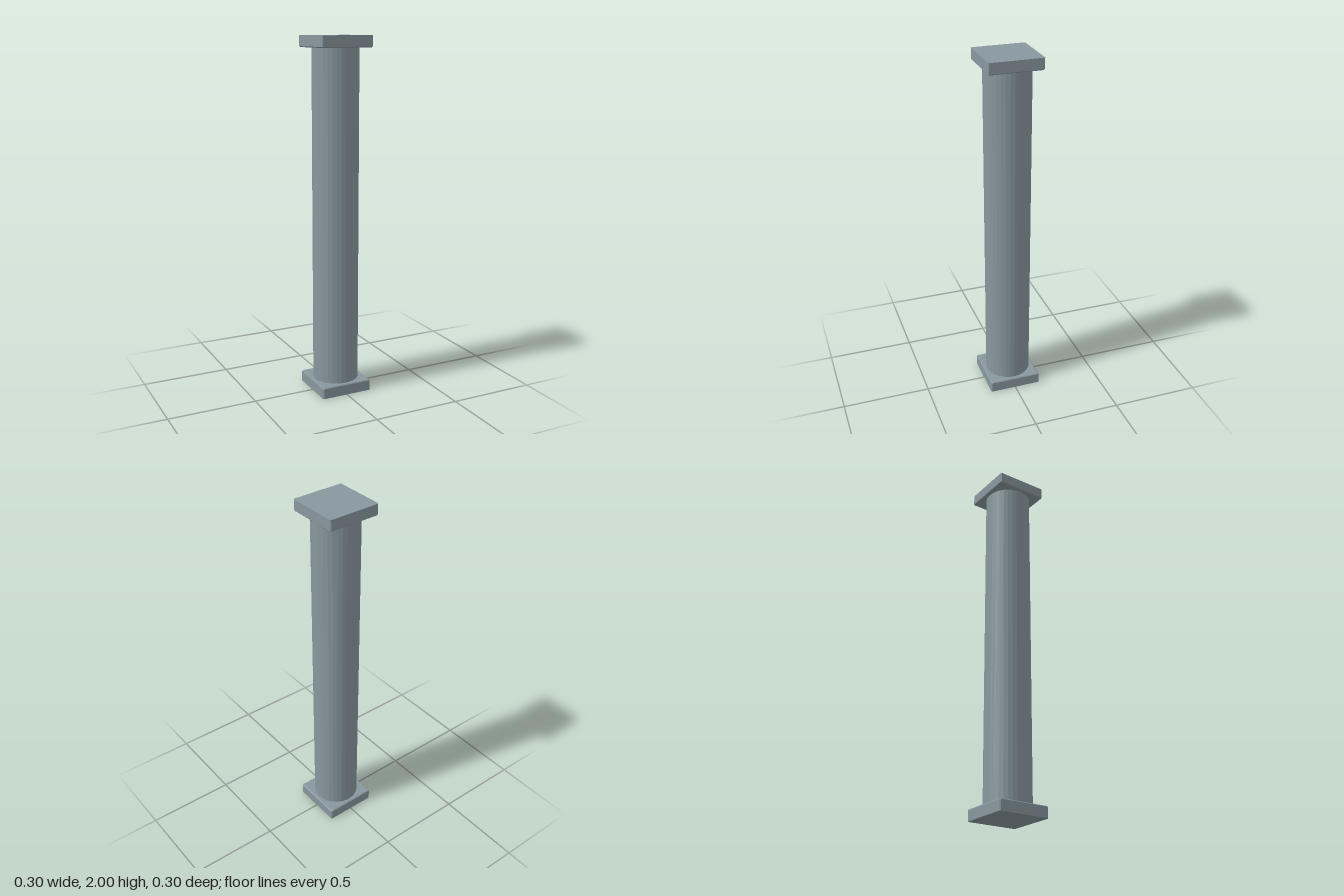
import * as THREE from 'three';

const HALF = 0.149, CUT = 0.005, SLAB = 0.064, RADIUS = 0.129;

// Square slab with clipped corners and a chamfer around its upper edge
function slabGeometry() {
  const a = HALF, b = HALF - CUT;
  const outline = new THREE.Shape([
    [a, -b], [a, b], [b, a], [-b, a], [-a, b], [-a, -b], [-b, -a], [b, -a],
  ].map(([x, y]) => new THREE.Vector2(x, y)));
  const geometry = new THREE.ExtrudeGeometry(outline, { depth: 2, steps: 2, bevelEnabled: false });
  const pos = geometry.attributes.position;
  const heights = [0, SLAB - CUT, SLAB];
  for (let i = 0; i < pos.count; i++) {
    const level = Math.round(pos.getZ(i));
    const s = level === 2 ? b / a : 1;
    pos.setXYZ(i, pos.getX(i) * s, pos.getY(i) * s, heights[level]);
  }
  geometry.computeVertexNormals();
  return geometry.rotateX(-Math.PI / 2);
}

export function createModel() {
  const group = new THREE.Group();
  group.name = 'column';
  const material = new THREE.MeshStandardMaterial({ color: 0x88979e, flatShading: true });
  const add = (name, geometry) => {
    const mesh = new THREE.Mesh(geometry, material);
    mesh.name = name;
    group.add(mesh);
    return mesh;
  };

  // Base and the same slab turned over as the capital
  add('base', slabGeometry());
  const capital = add('capital', slabGeometry());
  capital.rotation.x = Math.PI;
  capital.position.y = 2;

  // Round shaft between the slabs
  const shaft = add('shaft', new THREE.CylinderGeometry(RADIUS, RADIUS, 2 - 2 * SLAB, 32, 1, true));
  shaft.position.y = 1;

  return group;
}
